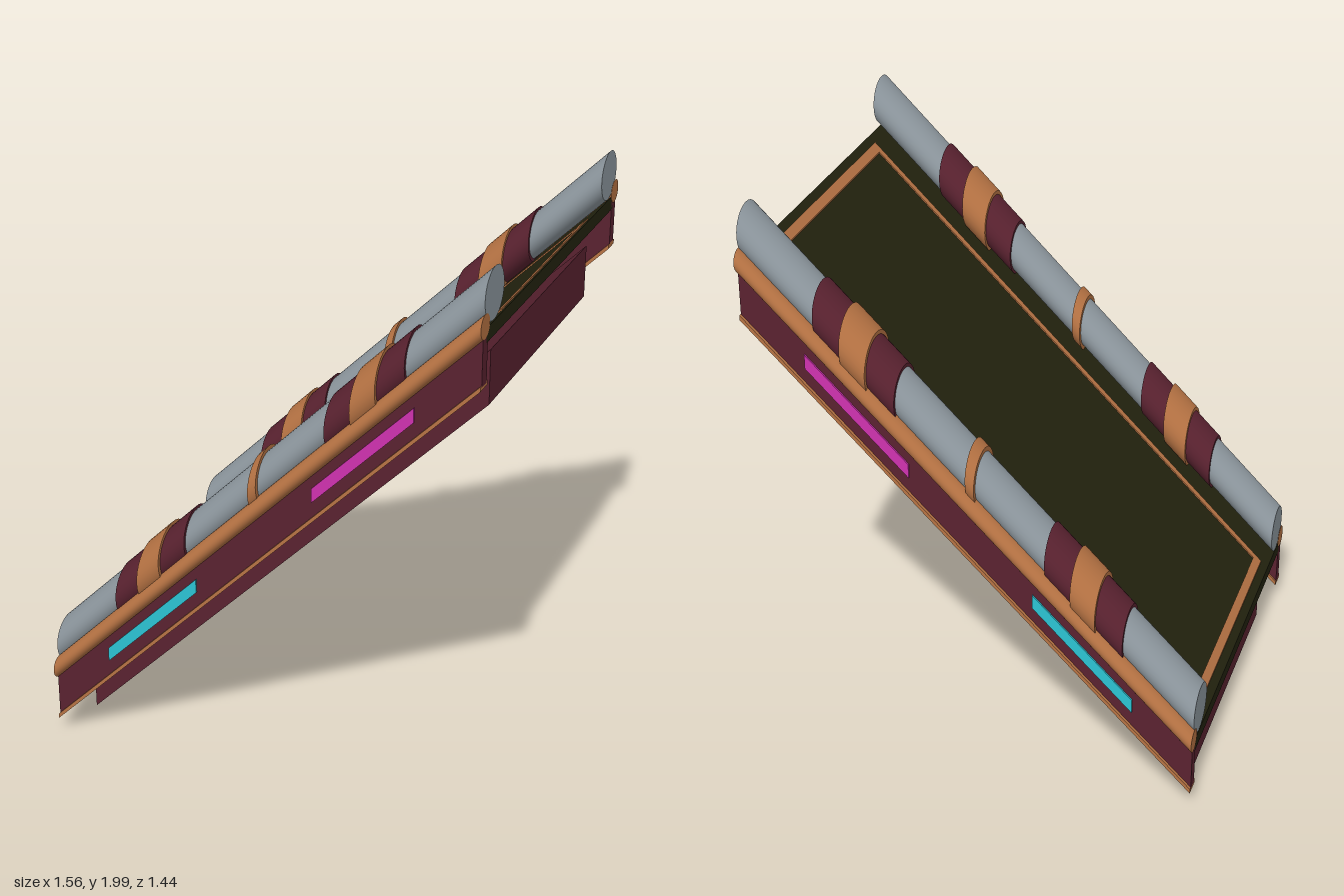
import * as THREE from 'three';

const mat = (name, color) => {
  const m = new THREE.MeshStandardMaterial({ color });
  m.name = name;
  return m;
};

export function createModel() {
  const group = new THREE.Group();
  const steel = mat('steel grey', 0x8e989f);
  const maroon = mat('maroon', 0x5a2230);
  const copper = mat('copper', 0xb87444);
  const olive = mat('dark olive', 0x23230f);
  const cyan = mat('cyan', 0x2cc4d4);
  const magenta = mat('magenta', 0xd032b0);

  // Parts are laid out level, then sheared into a 45 degree ramp (y += x)
  const shear = new THREE.Matrix4().set(1, 0, 0, 0, 1, 1, 0, 0, 0, 0, 1, 0, 0, 0, 0, 1);
  const add = (name, geometry, material) => {
    geometry.applyMatrix4(shear);
    const mesh = new THREE.Mesh(geometry, material);
    mesh.name = name;
    group.add(mesh);
  };
  const box = (name, material, x0, x1, y0, y1, z0, z1) => {
    const g = new THREE.BoxGeometry(x1 - x0, y1 - y0, Math.abs(z1 - z0));
    g.translate((x0 + x1) / 2, (y0 + y1) / 2, (z0 + z1) / 2);
    add(name, g, material);
  };
  const rod = (name, material, x0, x1, y, z, r) => {
    const g = new THREE.CylinderGeometry(r, r, x1 - x0, 32);
    g.rotateZ(Math.PI / 2).translate((x0 + x1) / 2, y, z);
    add(name, g, material);
  };

  // Underbody and deck
  box('underbody', maroon, -0.74, 0.74, 0.75, 0.94, -0.5, 0.5);
  box('deck', olive, -0.78, 0.78, 0.99, 1.04, -0.66, 0.66);

  // Inlaid border on the deck
  for (const s of [-1, 1]) {
    box('deckBorderSide', copper, -0.755, 0.755, 1.038, 1.046, s * 0.425, s * 0.45);
    const x = s * 0.7425;
    box('deckBorderEnd', copper, x - 0.0125, x + 0.0125, 1.038, 1.046, -0.425, 0.425);
  }

  for (const s of [-1, 1]) {
    // Side panel with trim and light strips
    box('sidePanel', maroon, -0.78, 0.78, 0.855, 1.03, s * 0.648, s * 0.692);
    box('lowerTrim', copper, -0.78, 0.78, 0.845, 0.862, s * 0.64, s * 0.704);
    rod('upperTrim', copper, -0.781, 0.781, 1.05, s * 0.677, 0.041);
    box('lowerLight', cyan, -0.566, -0.215, 0.917, 0.968, s * 0.69, s * 0.698);
    box('upperLight', magenta, 0.212, 0.562, 0.917, 0.968, s * 0.69, s * 0.698);

    // Handrail with its grips and rings
    const z = s * 0.597;
    rod('handrail', steel, -0.78, 0.78, 1.132, z, 0.088);
    rod('centreRing', copper, -0.015, 0.015, 1.132, z, 0.104);
    for (const x of [-0.392, 0.392]) {
      rod('grip', maroon, x - 0.136, x + 0.136, 1.132, z, 0.1);
      rod('gripBand', copper, x - 0.043, x + 0.043, 1.132, z, 0.114);
    }
  }
  return group;
}
